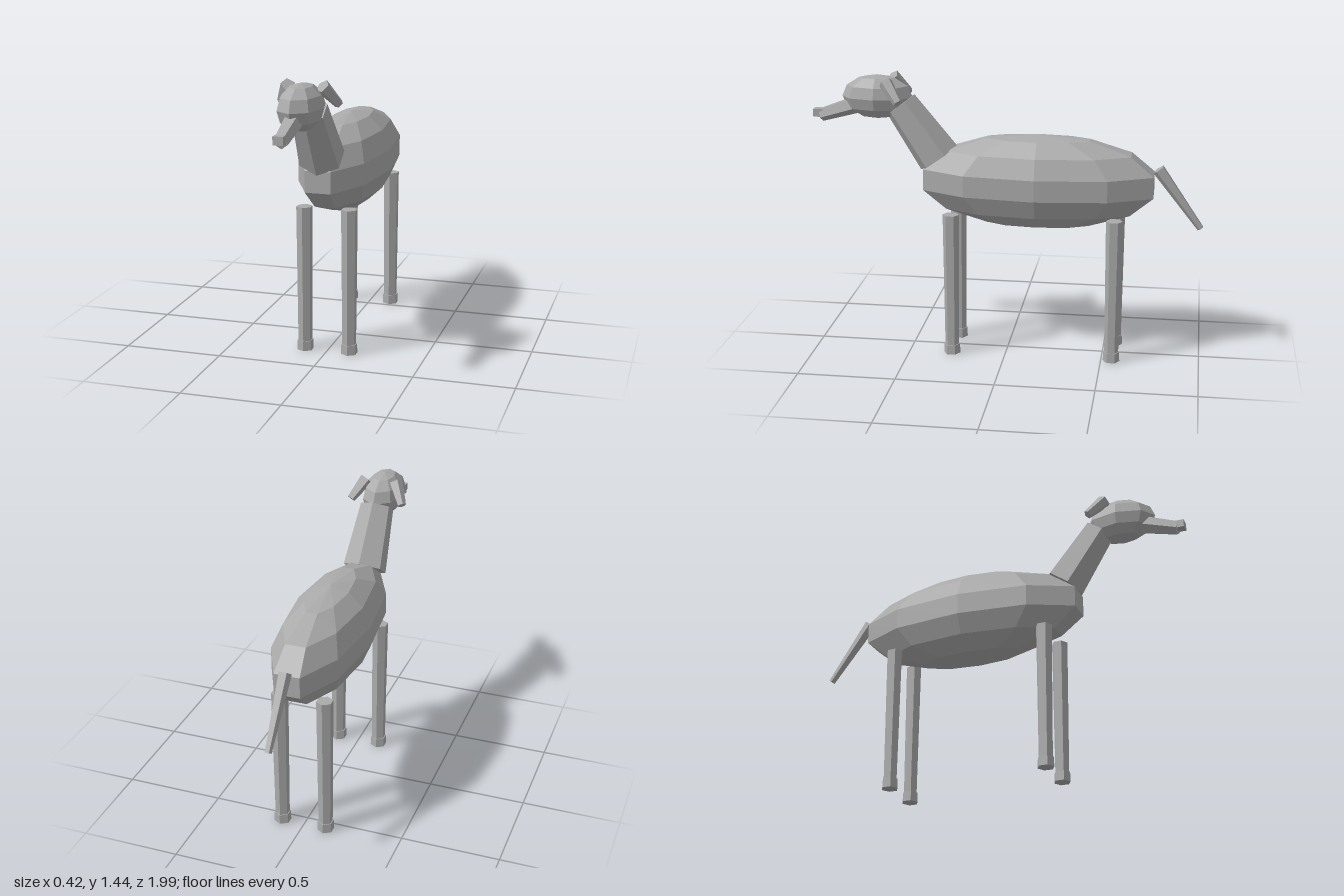
import * as THREE from 'three';

export function createModel() {
  const model = new THREE.Group();
  const grey = new THREE.MeshStandardMaterial({ color: 0xaaaaaa });
  grey.name = 'plain grey';
  grey.flatShading = true;
  const up = new THREE.Vector3(0, 1, 0);

  const add = (name, geometry, x = 0, y = 0, z = 0) => {
    const mesh = new THREE.Mesh(geometry, grey);
    mesh.name = name;
    mesh.position.set(x, y, z);
    model.add(mesh);
    return mesh;
  };

  // Tapered faceted rod running from point a to point b
  const rod = (name, a, b, ra, rb, sides) => {
    const start = new THREE.Vector3(...a);
    const end = new THREE.Vector3(...b);
    const dir = end.clone().sub(start);
    const mesh = add(name, new THREE.CylinderGeometry(rb, ra, dir.length(), sides));
    mesh.position.copy(start).add(end).multiplyScalar(0.5);
    mesh.quaternion.setFromUnitVectors(up, dir.normalize());
    return mesh;
  };

  // Long faceted body and small rounded head
  add('body', new THREE.SphereGeometry(1, 10, 7).scale(0.215, 0.245, 0.63), 0, 0.915, -0.157);
  add('head', new THREE.SphereGeometry(1, 8, 6).scale(0.107, 0.113, 0.182), 0, 1.328, 0.667);

  // Neck, muzzle and nose
  rod('neck', [0, 1.02, 0.355], [0, 1.292, 0.548], 0.115, 0.089, 6);
  rod('muzzle', [0, 1.288, 0.77], [0, 1.225, 0.965], 0.048, 0.036, 5);
  add('nose', new THREE.BoxGeometry(0.05, 0.04, 0.05), 0, 1.237, 0.975);

  // Tail hanging down behind
  rod('tail', [0, 0.697, -0.982], [0, 0.998, -0.762], 0.018, 0.034, 5);

  for (const [side, s] of [['left', 1], ['right', -1]]) {
    // Drooping ear
    rod(side + 'Ear', [s * 0.14, 1.325, 0.532], [s * 0.082, 1.417, 0.605], 0.023, 0.037, 5);

    // Straight legs with slightly wider feet
    for (const [end, z] of [['Front', 0.277], ['Back', -0.553]]) {
      rod(side + end + 'Leg', [s * 0.116, 0.04, z], [s * 0.116, 0.752, z], 0.036, 0.042, 6);
      rod(side + end + 'Foot', [s * 0.116, 0, z], [s * 0.116, 0.05, z], 0.043, 0.041, 6);
    }
  }
  return model;
}
